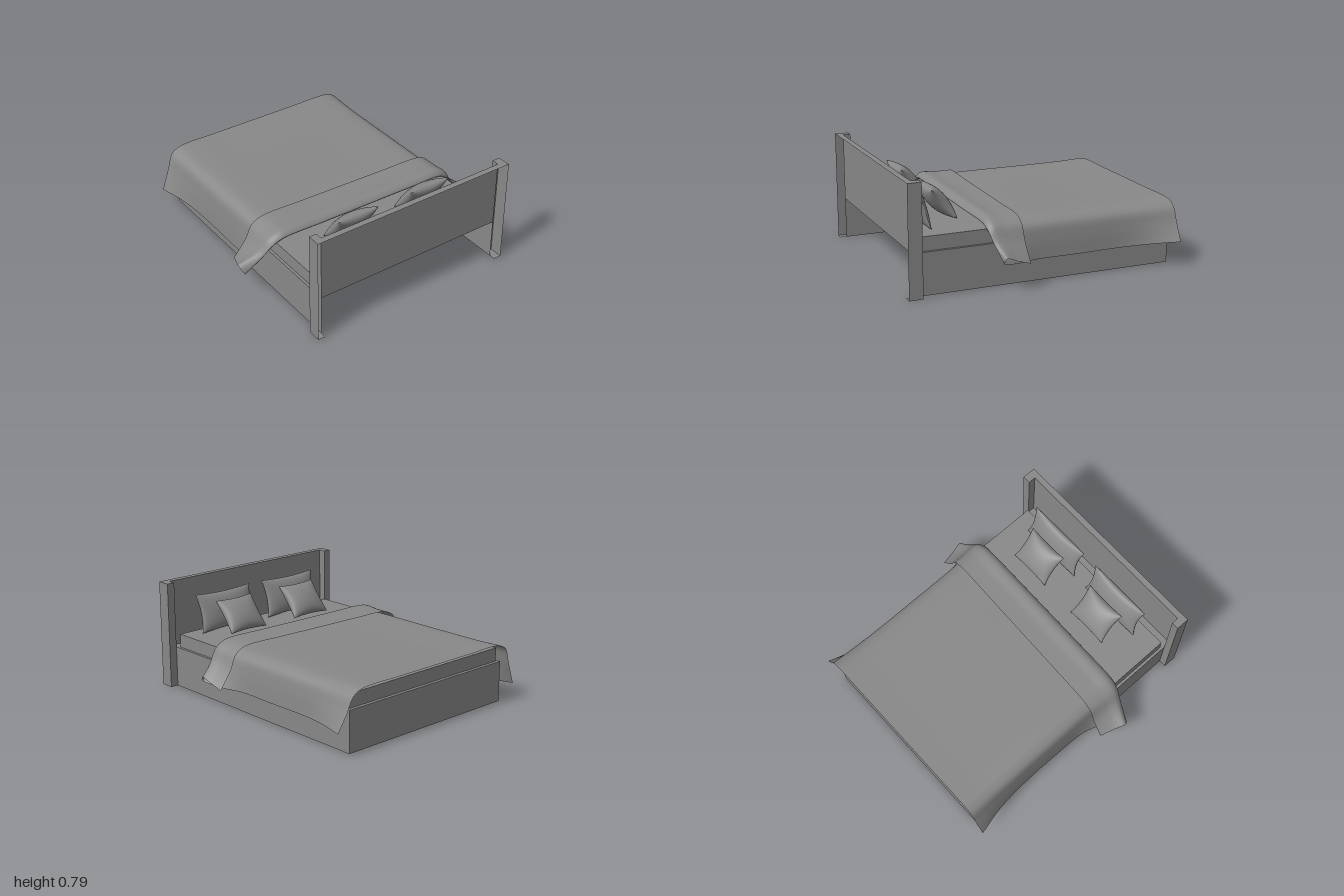
import * as THREE from 'three';
import { mergeGeometries } from 'three/addons/utils/BufferGeometryUtils.js';

const mat = new THREE.MeshStandardMaterial({ color: 0x888888, side: THREE.DoubleSide });
const MID = -0.0325; // bed centre line in z

function add(parent, name, geo) {
  const m = new THREE.Mesh(geo, mat);
  m.name = name;
  parent.add(m);
  return m;
}

// Box given by its limits; keep lists the faces to retain (0 +x, 1 -x, 2 +y, 3 -y, 4 +z, 5 -z)
function box(x0, x1, y0, y1, z0, z1, keep) {
  const g = new THREE.BoxGeometry(x1 - x0, y1 - y0, z1 - z0);
  g.translate((x0 + x1) / 2, (y0 + y1) / 2, (z0 + z1) / 2);
  const idx = Array.from(g.index.array);
  g.setIndex(keep.flatMap(f => idx.slice(f * 6, f * 6 + 6)));
  return g;
}

// Flat rim between the frame walls and the mattress
function rimGeometry() {
  const rect = (P, x0, x1, z0, z1) => {
    const p = new P();
    p.moveTo(x0, -z0); p.lineTo(x1, -z0); p.lineTo(x1, -z1); p.lineTo(x0, -z1); p.closePath();
    return p;
  };
  const s = rect(THREE.Shape, -0.955, 0.955, -0.775, 0.71);
  s.holes.push(rect(THREE.Path, -0.93, 0.875, -0.755, 0.69));
  return new THREE.ShapeGeometry(s).rotateX(-Math.PI / 2).translate(0, 0.3, 0);
}

// Cushion: two bulged sheets with pinched, concave edges; leans back by angle a
function pillowGeometry(w, h, t, a) {
  const front = new THREE.PlaneGeometry(2, 2, 24, 24);
  const p = front.attributes.position;
  for (let i = 0; i < p.count; i++) {
    // crowd the rows toward the edges so that they round off smoothly
    const u = Math.sin(p.getX(i) * Math.PI / 2), v = Math.sin(p.getY(i) * Math.PI / 2);
    const bulge = Math.pow(Math.max(0, (1 - u * u) * (1 - v * v)), 0.45);
    p.setXYZ(i, u * w / 2 * (1 - 0.09 * (1 - v * v)), v * h / 2 * (1 - 0.09 * (1 - u * u)), bulge * t / 2);
  }
  front.computeVertexNormals();
  const back = front.clone().rotateY(Math.PI);
  return mergeGeometries([front, back]).rotateY(-Math.PI / 2).rotateZ(-a);
}

// Blanket: cross-sections from the foot to the crease, then folded back on itself
function blanketGeometry() {
  // top x, top y, skew, then the left and right hems as [x, y, distance from the centre line]
  const sections = [
    [-1.0, 0.447, 0, [-0.99, 0.12, 0.853], [-0.99, 0.18, 0.875]],
    [-0.8, 0.44, 0, [-0.8, 0.115, 0.806], [-0.8, 0.172, 0.818]],
    [-0.6, 0.438, 0, [-0.6, 0.11, 0.782], [-0.6, 0.165, 0.782]],
    [-0.2, 0.438, 0, [-0.2, 0.105, 0.776], [-0.2, 0.16, 0.776]],
    [0.1, 0.438, 0, [0.06, 0.112, 0.79], [0.08, 0.163, 0.785]],
    [0.28, 0.435, 0, [0.2, 0.125, 0.84], [0.24, 0.17, 0.84]],
    [0.395, 0.415, 0.01, [0.3, 0.17, 0.92], [0.34, 0.19, 0.885]],
    [0.42, 0.435, 0.01, [0.33, 0.19, 0.945], [0.37, 0.205, 0.905]],
    [0.385, 0.467, 0.01, [0.29, 0.245, 0.97], [0.355, 0.24, 0.92]],
    [0.28, 0.462, 0.015, [0.22, 0.215, 0.94], [0.27, 0.21, 0.91]],
    [0.155, 0.462, 0.022, [0.115, 0.18, 0.9], [0.175, 0.18, 0.9]],
  ];
  // half of a cross-section, from the flat top over the shoulder to the hem
  const half = ([tx, ty, skew, left, right], side) => {
    const [hx, hy, hw] = side > 0 ? left : right;
    const at = (z, y, f) => new THREE.Vector3(
      THREE.MathUtils.lerp(tx - skew * side * Math.min(1, z / 0.745), hx, f), y, MID + side * z);
    const flare = hw - 0.775, lift = ty - 0.44;
    return [
      at(0.35, ty, 0), at(0.64, ty, 0.02), at(0.7, 0.427 + lift, 0.06),
      at(0.745 + flare * 0.1, 0.39 + lift, 0.18),
      at(0.765 + flare * 0.35, THREE.MathUtils.lerp(0.39, hy, 0.4), 0.45),
      at(hw, hy, 1),
    ];
  };
  const grid = sections.map(s => [
    ...half(s, -1).reverse(), new THREE.Vector3(s[0], s[1], MID), ...half(s, 1)]);
  const along = grid[0].map((_, k) => new THREE.CatmullRomCurve3(grid.map(r => r[k])));
  const N = 80, M = 72, pos = [], idx = [];
  for (let i = 0; i <= N; i++) {
    const across = new THREE.CatmullRomCurve3(along.map(c => c.getPoint(i / N)));
    for (let j = 0; j <= M; j++) pos.push(...across.getPoint(j / M).toArray());
  }
  for (let i = 0; i < N; i++) {
    for (let j = 0; j < M; j++) {
      const a = i * (M + 1) + j, b = a + M + 1;
      idx.push(a, a + 1, b, b, a + 1, b + 1);
    }
  }
  const g = new THREE.BufferGeometry();
  g.setAttribute('position', new THREE.Float32BufferAttribute(pos, 3));
  g.setIndex(idx);
  g.computeVertexNormals();
  return g;
}

export function createModel() {
  const bed = new THREE.Group();
  bed.name = 'bed';

  // Headboard: a shell open toward the wall, its panel set back between two posts
  const headboard = new THREE.Group();
  headboard.name = 'headboard';
  bed.add(headboard);
  for (const [name, z0, z1, outer, inner] of [
    ['leftPost', 0.71, 0.765, 4, 5], ['rightPost', -0.835, -0.775, 5, 4]]) {
    add(headboard, name, mergeGeometries([
      box(0.9, 1, 0, 0.79, z0, z1, [1, 2, 3, outer]),
      box(0.9, 0.955, 0.3, 0.79, z0, z1, [inner])]));
  }
  add(headboard, 'headboardPanel', box(0.955, 1, 0.3, 0.79, -0.775, 0.71, [1, 2]));

  // Base: thin walls open at the head and underneath
  add(bed, 'frameWalls', box(-0.955, 0.955, 0, 0.3, -0.775, 0.71, [1, 4, 5]));
  add(bed, 'frameRim', rimGeometry());
  add(bed, 'mattress', box(-0.93, 0.875, 0.3, 0.4, -0.755, 0.69, [0, 1, 2, 4, 5]));

  // Bedding
  add(bed, 'blanket', blanketGeometry());
  const large = pillowGeometry(0.51, 0.29, 0.1, 0.28);
  const small = pillowGeometry(0.33, 0.28, 0.12, 0.7);
  for (const [side, zl, zs] of [['left', 0.255, 0.24], ['right', -0.375, -0.37]]) {
    add(bed, side + 'LargePillow', large).position.set(0.803, 0.542, zl);
    add(bed, side + 'SmallPillow', small).position.set(0.632, 0.535, zs);
  }
  return bed;
}
